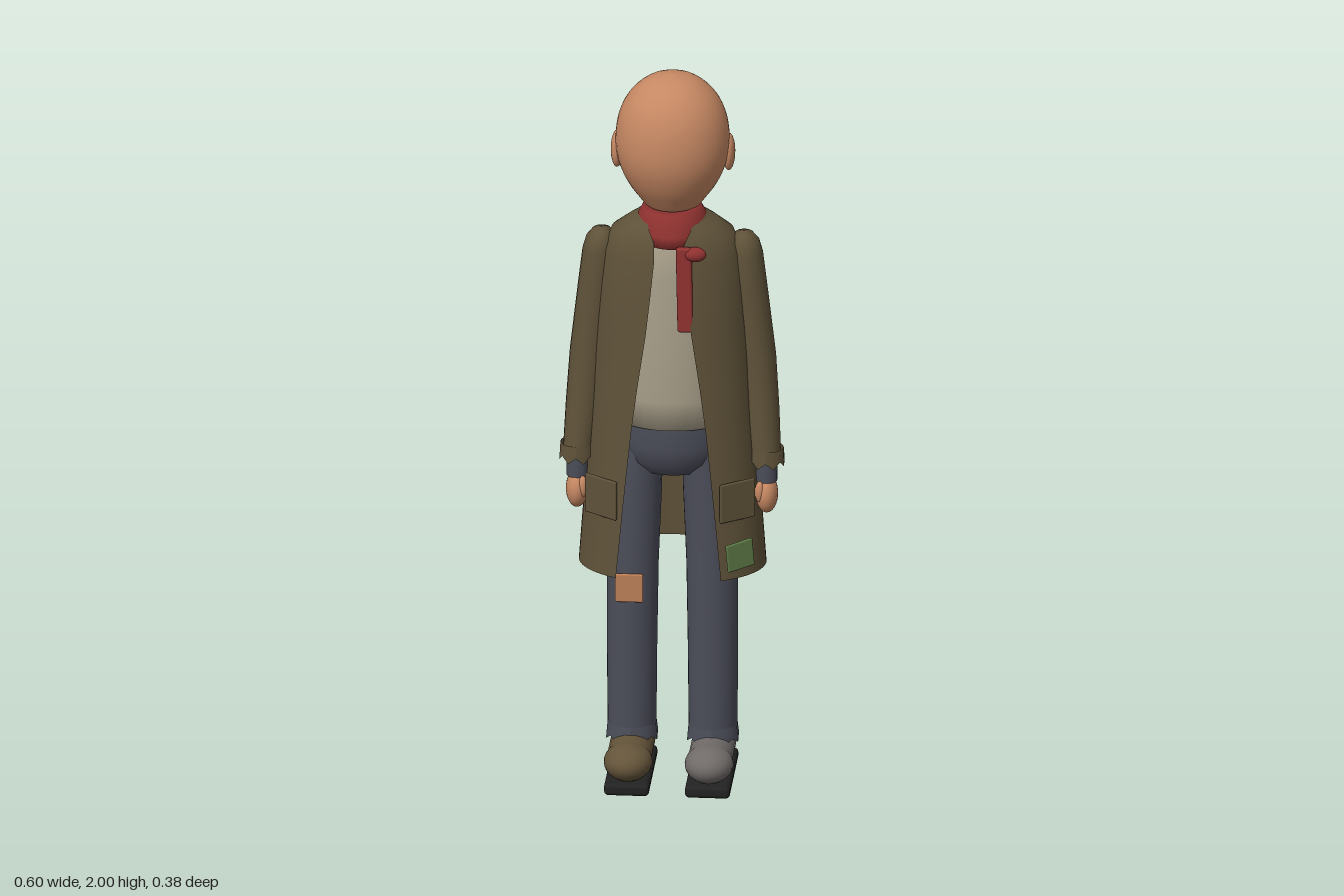
import * as THREE from 'three';
import { RoundedBoxGeometry } from 'three/addons/geometries/RoundedBoxGeometry.js';

const mat = (name, color, side = THREE.FrontSide) => {
  const m = new THREE.MeshStandardMaterial({ color, side });
  m.name = name;
  return m;
};

// Skin over horizontal elliptical rings, listed top to bottom: [x, y, z, rx, rz, gap]
// gap is the half-width of an opening at the front.
function loft(rows, seg = 28) {
  const open = rows[0].length > 5;
  const cols = open ? seg + 1 : seg;
  const pos = [], idx = [];
  rows.forEach(([x, y, z, rx, rz, gap = 0]) => {
    const start = open ? Math.asin(gap / rx) : 0;
    for (let j = 0; j < cols; j++) {
      const a = start + (j / seg) * (2 * Math.PI - 2 * start);
      pos.push(x + Math.sin(a) * rx, y, z + Math.cos(a) * rz);
    }
  });
  for (let i = 0; i < rows.length - 1; i++) {
    for (let j = 0; j < seg; j++) {
      const a = i * cols + j, b = i * cols + ((j + 1) % cols);
      idx.push(a, a + cols, b, b, a + cols, b + cols);
    }
  }
  const g = new THREE.BufferGeometry();
  g.setAttribute('position', new THREE.Float32BufferAttribute(pos, 3));
  g.setIndex(idx);
  g.computeVertexNormals();
  return g;
}

// Short open band with a ragged lower edge
function raggedBand(r, h) {
  const g = new THREE.CylinderGeometry(r * 0.94, r, h, 14, 1, true);
  const p = g.attributes.position;
  for (let i = 0; i < p.count; i++) {
    if (p.getY(i) < 0 && (i % 2)) p.setY(i, p.getY(i) + h * 0.35);
  }
  g.computeVertexNormals();
  return g;
}

export function createModel() {
  const root = new THREE.Group();
  root.name = 'manInCoat';
  const skin = mat('skin', 0xc68863);
  const coat = mat('coat', 0x5f5239, THREE.DoubleSide);
  const red = mat('scarf', 0x8f3230);
  const shirtM = mat('shirt', 0xa69d88);
  const cloth = mat('trousers', 0x4b4d59, THREE.DoubleSide);
  const tan = mat('tanPatch', 0xbb7f57);
  const green = mat('greenPatch', 0x5d7a47);
  const black = mat('sole', 0x222223);
  const grey = mat('greyShoe', 0x706b69);
  const brown = mat('brownShoe', 0x64543a);

  const add = (name, geo, m, x = 0, y = 0, z = 0) => {
    const mesh = new THREE.Mesh(geo, m);
    mesh.name = name;
    mesh.position.set(x, y, z);
    root.add(mesh);
    return mesh;
  };
  const ball = (name, m, x, y, z, rx, ry, rz) => {
    const b = add(name, new THREE.SphereGeometry(1, 24, 16), m, x, y, z);
    b.scale.set(rx, ry, rz);
    return b;
  };
  const plate = (name, m, w, h, x, y, z, ry, rz = 0) => {
    const p = add(name, new RoundedBoxGeometry(w, h, 0.0095, 2, 0.004), m, x, y, z);
    p.rotation.set(0, ry, rz);
    return p;
  };

  // Egg-shaped head and neck
  const headCurve = new THREE.SplineCurve([
    [0.055, 1.57], [0.06, 1.61], [0.085, 1.645], [0.12, 1.695], [0.145, 1.755],
    [0.152, 1.82], [0.141, 1.89], [0.11, 1.947], [0.06, 1.987], [0, 2],
  ].map(([x, y]) => new THREE.Vector2(x, y)));
  const headPts = headCurve.getPoints(36);
  headPts.forEach((p) => { p.x = Math.max(p.x, 0); p.y = Math.min(p.y, 2); });
  add('head', new THREE.LatheGeometry(headPts, 40), skin, 0, 0, -0.014).scale.z = 0.945;

  // Scarf collar, knot and hanging tail
  add('scarfCollar', loft([
    [0, 1.615, -0.005, 0.05, 0.05], [0, 1.633, -0.005, 0.068, 0.07],
    [0, 1.625, -0.005, 0.08, 0.083], [0, 1.6, -0.005, 0.093, 0.092],
    [0, 1.57, 0, 0.095, 0.1], [0, 1.54, 0, 0.08, 0.105], [0, 1.535, 0, 0.05, 0.07],
  ]), red);
  ball('scarfKnot', red, 0.07, 1.532, 0.112, 0.03, 0.02, 0.02);
  add('scarfTail', new RoundedBoxGeometry(0.042, 0.24, 0.02, 2, 0.006), red, 0.042, 1.43, 0.112).rotation.z = 0.02;

  // Shirt and seat of the trousers
  add('shirt', loft([
    [0, 1.58, -0.01, 0.05, 0.05], [0, 1.55, -0.01, 0.12, 0.09], [0, 1.45, -0.01, 0.14, 0.105],
    [0, 1.25, -0.01, 0.15, 0.115], [0, 1.1, -0.01, 0.155, 0.12], [0, 1.02, -0.01, 0.15, 0.115],
    [0, 1.015, -0.01, 0.05, 0.05],
  ]), shirtM);
  add('trouserSeat', loft([
    [0, 1.03, -0.01, 0.147, 0.11], [0, 0.96, -0.01, 0.148, 0.112], [0, 0.91, -0.01, 0.13, 0.1],
    [0, 0.875, -0.01, 0.09, 0.07], [0, 0.86, -0.01, 0.01, 0.01],
  ]), cloth);

  // Long coat, open at the front
  add('coatBody', loft([
    [0, 1.607, -0.008, 0.088, 0.085, 0.065], [0, 1.585, -0.011, 0.122, 0.104, 0.055],
    [0, 1.555, -0.014, 0.163, 0.12, 0.04], [0, 1.5, -0.017, 0.186, 0.134, 0.04],
    [0, 1.4, -0.018, 0.198, 0.143, 0.05], [0, 1.3, -0.018, 0.205, 0.148, 0.061],
    [0, 1.15, -0.018, 0.213, 0.153, 0.083], [0, 1.02, -0.017, 0.221, 0.159, 0.1],
    [0, 0.8, -0.016, 0.236, 0.169, 0.122], [0, 0.605, -0.015, 0.25, 0.177, 0.14],
  ], 48), coat);

  for (const s of [1, -1]) {
    const side = s > 0 ? 'left' : 'right';
    ball(side + 'Ear', skin, s * 0.149, 1.775, -0.026, 0.017, 0.052, 0.034);

    // Sleeve, cuff, wrist and hand
    add(side + 'Sleeve', loft([
      [0.19, 1.552, -0.02, 0.002, 0.002], [0.19, 1.545, -0.02, 0.025, 0.03],
      [0.192, 1.525, -0.02, 0.039, 0.047], [0.195, 1.49, -0.02, 0.046, 0.054],
      [0.202, 1.4, -0.021, 0.05, 0.056], [0.222, 1.2, -0.026, 0.053, 0.056],
      [0.236, 1.05, -0.012, 0.049, 0.053], [0.25, 0.92, 0.006, 0.041, 0.046],
    ].map(([x, ...r]) => [s * x, ...r]), 20), coat);
    add(side + 'Cuff', raggedBand(0.048, 0.05), coat, s * 0.253, 0.92, 0.008);
    add(side + 'Wrist', new THREE.CylinderGeometry(0.03, 0.029, 0.09, 18), cloth, s * 0.252, 0.895, 0.008);
    ball(side + 'Hand', skin, s * 0.253, 0.812, 0.008, 0.03, 0.053, 0.043);
    ball(side + 'Thumb', skin, s * 0.236, 0.825, 0.034, 0.013, 0.03, 0.014);

    // Trouser leg with frayed hem
    add(side + 'Leg', loft([
      [s * 0.085, 0.95, -0.01, 0.06, 0.075], [s * 0.098, 0.82, -0.01, 0.07, 0.073],
      [s * 0.106, 0.6, -0.01, 0.069, 0.07], [s * 0.108, 0.35, -0.01, 0.067, 0.067],
      [s * 0.108, 0.13, -0.01, 0.065, 0.064],
    ], 24), cloth);
    add(side + 'Hem', raggedBand(0.07, 0.05), cloth, s * 0.108, 0.12, -0.01);

    // Odd shoes on black soles
    const shoe = s > 0 ? grey : brown;
    const body = new THREE.CapsuleGeometry(0.059, 0.175, 8, 24).rotateX(Math.PI / 2);
    add(side + 'Shoe', body, shoe, s * 0.108, 0.075, 0.033).scale.y = 0.85;
    ball(side + 'Toe', shoe, s * 0.108, 0.076, 0.12, 0.065, 0.05, 0.073);
    add(side + 'Sole', new RoundedBoxGeometry(0.12, 0.034, 0.3, 3, 0.012), black, s * 0.108, 0.017, 0.036);

    // Coat pocket
    plate(side + 'Pocket', coat, 0.108, 0.11, s * 0.182, 0.825, 0.101, s * 0.63);
  }

  // Sewn-on patches
  plate('coatPatch', green, 0.082, 0.078, 0.19, 0.675, 0.116, 0.63, 0.1);
  plate('kneePatch', tan, 0.075, 0.08, -0.11, 0.55, 0.063, 0);
  plate('elbowPatch', tan, 0.062, 0.07, 0.227, 1.2, -0.089, 0, 0.08);
  plate('sidePatch', tan, 0.05, 0.085, -0.192, 1.19, -0.106, -2.1);
  return root;
}
